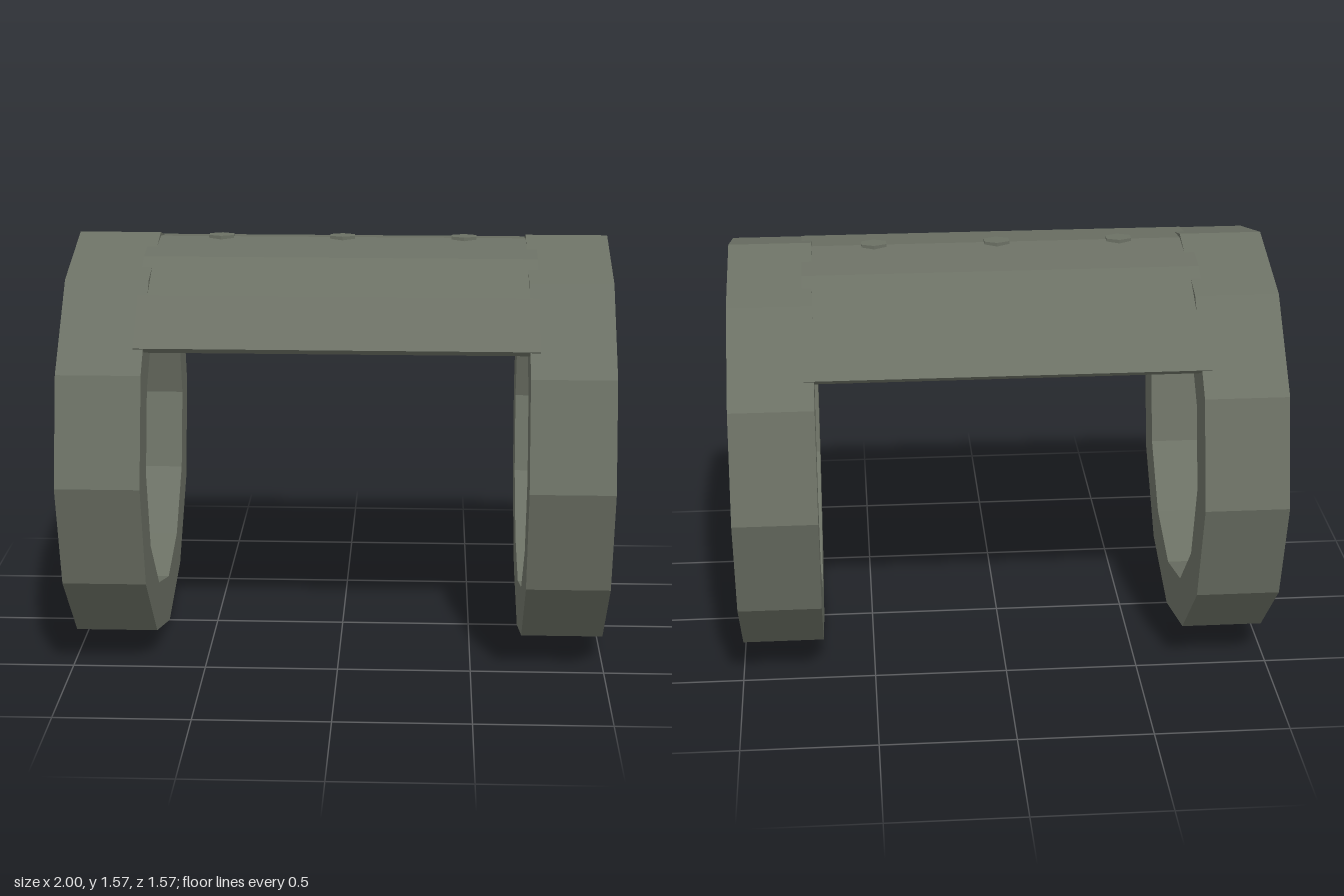
import * as THREE from 'three';

const AXIS_Y = 0.786; // height of the common axis of rings and plate

// Points on an arc measured from straight up
function arc(radius, from, to, segments) {
  return Array.from({ length: segments + 1 }, (_, i) => {
    const a = from + (to - from) * i / segments;
    return new THREE.Vector2(Math.sin(a) * radius, Math.cos(a) * radius);
  });
}

// Twelve-sided ring around the x axis; the hole winds the other way
function ringGeometry(outer, inner, width) {
  const shape = new THREE.Shape(arc(outer, 0, -Math.PI * 2, 12).slice(0, -1));
  shape.holes.push(new THREE.Path(arc(inner, 0, Math.PI * 2, 12).slice(0, -1)));
  const geometry = new THREE.ExtrudeGeometry(shape, { depth: width, bevelEnabled: false });
  geometry.translate(0, 0, -width / 2);
  geometry.rotateY(Math.PI / 2);
  return geometry;
}

// Sheet wrapped round a closed (z, y) profile, open at both x ends
function sleeveGeometry(profile, width) {
  const sheet = new THREE.PlaneGeometry(width, 1, 1, profile.length - 1);
  const position = sheet.attributes.position;
  for (let i = 0; i < position.count; i++) {
    const p = profile[Math.floor(i / 2)];
    position.setXYZ(i, position.getX(i), p.y, p.x);
  }
  const geometry = sheet.toNonIndexed();
  geometry.computeVertexNormals();
  return geometry;
}

export function createModel() {
  const model = new THREE.Group();
  const metal = new THREE.MeshStandardMaterial({ color: 0x6b7064, flatShading: true });
  metal.name = 'olive grey metal';

  function add(name, geometry, x, y) {
    const mesh = new THREE.Mesh(geometry, metal);
    mesh.name = name;
    mesh.position.set(x, y, 0);
    model.add(mesh);
  }

  // Two end rings
  const ring = ringGeometry(0.786, 0.601, 0.307);
  add('leftRing', ring, 0.8465, AXIS_Y);
  add('rightRing', ring, -0.8465, AXIS_Y);

  // Curved plate bridging the rings over the top
  const half = THREE.MathUtils.degToRad(52);
  const profile = [...arc(0.772, -half, half, 6), ...arc(0.738, half, -half, 6)];
  profile.push(profile[0]);
  add('curvedPlate', sleeveGeometry(profile, 1.46), 0, AXIS_Y);

  // Hexagonal bolt heads along the ridge, wider along x
  const bolt = new THREE.CylinderGeometry(0.038, 0.038, 0.03, 6);
  bolt.scale(1.42, 1, 1);
  [-0.46, 0, 0.46].forEach((x, i) => add(`bolt${i + 1}`, bolt, x, 1.551));

  return model;
}
